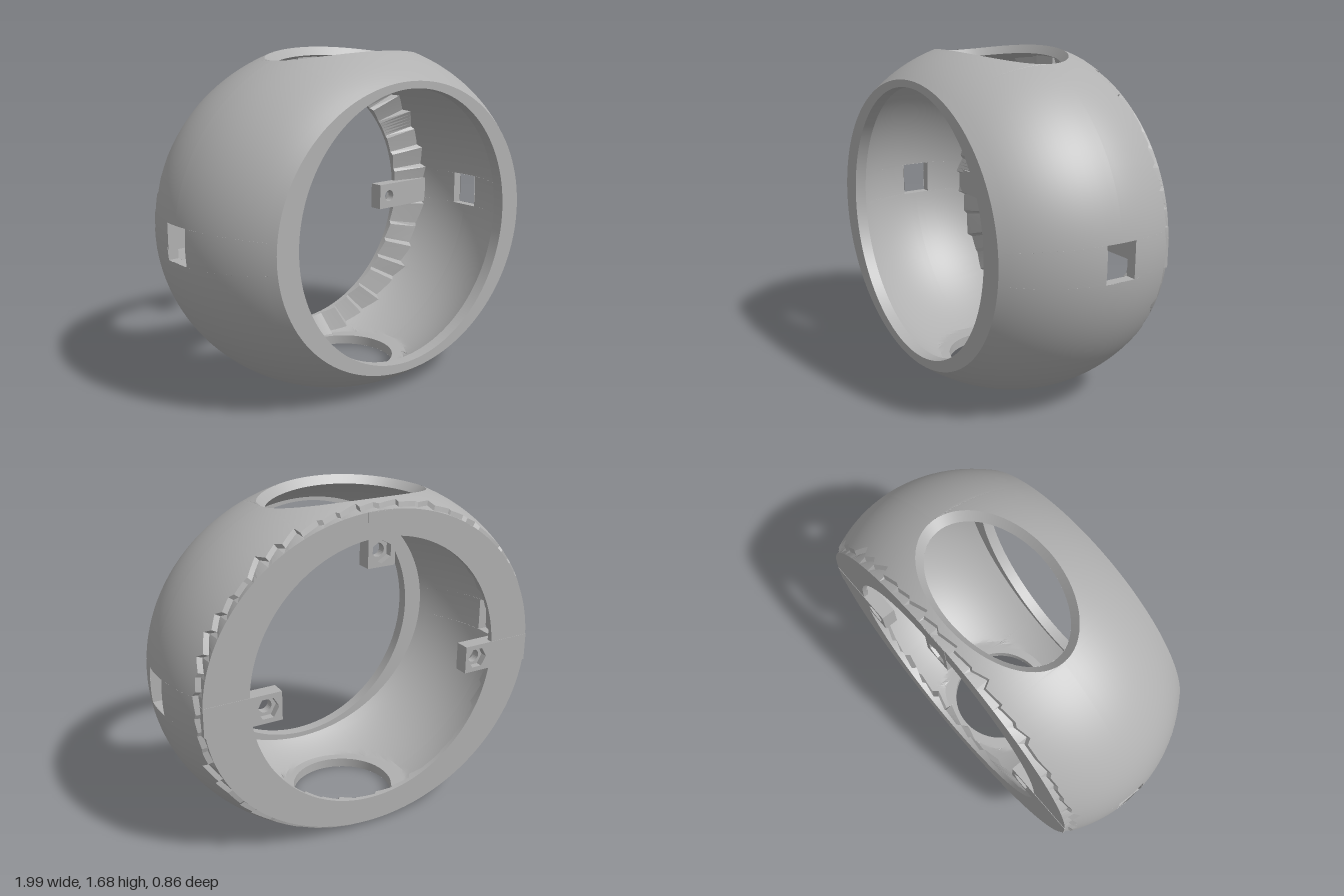
import * as THREE from 'three';
import { toCreasedNormals } from 'three/addons/utils/BufferGeometryUtils.js';

const CY = 0.835, CZ = -0.08, FRONT = 0.43, BACK = -0.43, BORE = 0.68;
const SQ_Y = 0.09, SQ_Z = 0.08;               // half size of the square side windows
// semi-axes, elliptical top hole, round bottom hole and flat floor of each skin
const OUTER = { A: 1, B: 0.9, C: 0.85, top: [0.44, 0.28], bottom: [0.265, 0.265], floor: -CY };
const INNER = { A: 0.95, B: 0.85, C: 0.8, top: [0.4, 0.25], bottom: [0.265, 0.265], floor: -0.785 };

const V = (x, y, z) => new THREE.Vector3(x, y, z);
const noise = (i) => { const s = Math.sin(i * 12.9898 + 4.1) * 43758.5453; return s - Math.floor(s); };

// point on a skin at angle t around the z axis and depth z
function skin(S, t, z, scale = 1) {
  const k = scale * Math.sqrt(1 - ((z - CZ) / S.C) ** 2);
  return V(S.A * k * Math.cos(t), CY + Math.max(S.floor, S.B * k * Math.sin(t)), z);
}

// half depth of any hole crossed at angle t
function holeHalf(S, t) {
  const s = Math.sin(t);
  if (Math.abs(S.B * s) < SQ_Y) return SQ_Z;
  if (Math.abs(s) < 0.5) return 0;
  const [a, b] = s > 0 ? S.top : S.bottom;
  const q = (S.A * Math.cos(t) / a) ** 2;
  return q >= 1 ? 0 : Math.sqrt((1 - q) / (1 / (b * b) - q / (S.C * S.C)));
}

// angles: even spacing plus extra columns at the hole edges
function makeAngles() {
  const list = [];
  for (let i = 0; i < 240; i++) list.push((i / 240) * Math.PI * 2);
  for (const S of [OUTER, INNER]) {
    for (let i = 0; i <= 24; i++) {
      const u = Math.sin((i / 24 - 0.5) * Math.PI);
      list.push(Math.acos(S.top[0] * u / S.A), -Math.acos(S.bottom[0] * u / S.A));
    }
    const e = Math.asin(SQ_Y / S.B);
    for (const d of [-1e-4, 1e-4]) list.push(e + d, -e + d, Math.PI - e + d, Math.PI + e + d);
  }
  const turn = Math.PI * 2;
  return list.map((t) => (t + turn) % turn).sort((a, b) => a - b)
    .filter((t, i, all) => i === 0 || t - all[i - 1] > 1e-5);
}
const ANGLES = makeAngles();

// closed loops joined into a surface
function loft(rows, crease) {
  const n = rows[0].length, pos = [], index = [];
  rows.forEach((row) => row.forEach((p) => pos.push(p.x, p.y, p.z)));
  for (let r = 0; r + 1 < rows.length; r++) {
    for (let c = 0; c < n; c++) {
      const a = r * n + c, b = r * n + (c + 1) % n;
      index.push(a, a + n, b, b, a + n, b + n);
    }
  }
  const geo = new THREE.BufferGeometry();
  geo.setAttribute('position', new THREE.Float32BufferAttribute(pos, 3));
  geo.setIndex(index);
  return toCreasedNormals(geo, crease);
}

const loop = (fn) => ANGLES.map(fn);
const span = (n, from, to) => Array.from({ length: n + 1 }, (_, j) =>
  loop((t) => {
    const f = j / n;
    return [t, from(t) * (1 - f) + to(t) * f];
  }));

// ragged rear edges of the two skins
function saw(t, teeth, seed) {
  const u = (t / (Math.PI * 2)) * teeth, i = Math.floor(u);
  return noise(i + seed) * (u - i);
}
const outerEnd = (t) => Math.min(-0.4 + 0.05 * saw(t, 56, 0), CZ - holeHalf(OUTER, t) - 0.01);
const innerEnd = (t) => Math.min(-0.38 + 0.05 * saw(t, 40, 90), CZ - holeHalf(INNER, t) - 0.01);

export function createModel() {
  const model = new THREE.Group();
  model.name = 'housing';
  const grey = new THREE.MeshStandardMaterial({ color: 0xb0b0b0, side: THREE.DoubleSide });
  grey.name = 'grey';
  const add = (name, geo, parent = model) => {
    const mesh = new THREE.Mesh(geo, grey);
    mesh.name = name;
    parent.add(mesh);
    return mesh;
  };

  // skins, each in a front and a rear half that meet at the holes
  const addSkin = (name, S, front, rear, reverse) => {
    const near = (t) => CZ + holeHalf(S, t), far = (t) => CZ - holeHalf(S, t);
    for (const [half, from, to] of [['Front', () => front, near], ['Rear', far, rear]]) {
      const rows = span(12, from, to).map((row) => row.map(([t, z]) => skin(S, t, z)));
      add(name + half, loft(reverse ? rows.reverse() : rows, 0.3));
    }
  };
  addSkin('outerShell', OUTER, FRONT, outerEnd, false);
  addSkin('innerShell', INNER, 0.37, innerEnd, true);

  // front flange with its round bore
  const bore = (z) => loop((t) => V(BORE * Math.cos(t), CY + 0.005 + BORE * Math.sin(t), z));
  add('frontFlange', loft([
    loop((t) => skin(INNER, t, 0.37)), bore(0.37), bore(FRONT), loop((t) => skin(OUTER, t, FRONT)),
  ], 0.3));

  // rear ring with toothed outside and pleated inside
  add('rearRing', loft([
    loop((t) => skin(OUTER, t, outerEnd(t))),
    loop((t) => skin(OUTER, t, outerEnd(t) - 0.006, 0.975)),
    loop((t) => V(0.905 * Math.cos(t), CY + 0.81 * Math.sin(t), BACK)),
    bore(BACK),
    loop((t) => V(BORE * Math.cos(t), CY + 0.005 + BORE * Math.sin(t), -0.41 + 0.03 * saw(t, 40, 30))),
    loop((t) => skin(INNER, t, innerEnd(t))),
  ], 0.15));

  // walls of the top and bottom holes
  const rim = (S, [a, b], side) => Array.from({ length: 96 }, (_, i) => {
    const u = (i / 96) * Math.PI * 2, x = a * Math.cos(u), d = b * Math.sin(u);
    const y = S.B * Math.sqrt(1 - (x / S.A) ** 2 - (d / S.C) ** 2);
    return V(x, CY + Math.max(S.floor, side * y), CZ + d);
  });
  add('topHoleWall', loft([rim(OUTER, OUTER.top, 1), rim(INNER, INNER.top, 1)], 0.4));
  add('bottomHoleWall', loft([rim(INNER, INNER.bottom, -1), rim(OUTER, OUTER.bottom, -1)], 0.4));

  // walls of the square side windows
  const square = (S, side) => [[1, -1], [1, 1], [-1, 1], [-1, -1]].map(([p, q]) => {
    const y = p * SQ_Y, d = q * SQ_Z;
    return V(side * S.A * Math.sqrt(1 - (y / S.B) ** 2 - (d / S.C) ** 2), CY + y, CZ + d);
  });
  for (const side of [1, -1]) {
    const rows = [square(INNER, side), square(OUTER, side)];
    add(side > 0 ? 'leftWindowWall' : 'rightWindowWall', loft(side > 0 ? rows : rows.reverse(), 0.3));
  }

  // mounting lugs: screw hole in front, hexagonal nut pocket behind
  const lugSlab = (length, depth, radius, sides) => {
    const shape = new THREE.Shape([[0, -0.072], [length, -0.072], [length, 0.072], [0, 0.072]]
      .map(([x, y]) => new THREE.Vector2(x, y)));
    shape.holes.push(new THREE.Path(Array.from({ length: sides }, (_, i) => {
      const u = -(i / sides) * Math.PI * 2;
      return new THREE.Vector2(0.072 + radius * Math.cos(u), radius * Math.sin(u));
    })));
    return new THREE.ExtrudeGeometry(shape, { depth, bevelEnabled: false });
  };
  const lugs = [['leftLug', 0.52, 0.8, Math.PI, 0.385], ['rightLug', -0.52, 0.8, 0, 0.385],
    ['topLug', 0, 1.38, Math.PI / 2, 0.262]];
  for (const [name, x, y, turn, length] of lugs) {
    const lug = new THREE.Group();
    lug.name = name;
    lug.position.set(x, y, BACK - 0.002);
    // each lug runs from its free end out to the rim
    lug.rotation.z = name === 'topLug' ? turn : Math.PI - turn;
    add('nutPocket', lugSlab(length, 0.035, 0.056, 6), lug);
    add('screwPlate', lugSlab(length, 0.04, 0.033, 28), lug).position.z = 0.035;
    model.add(lug);
  }
  return model;
}
